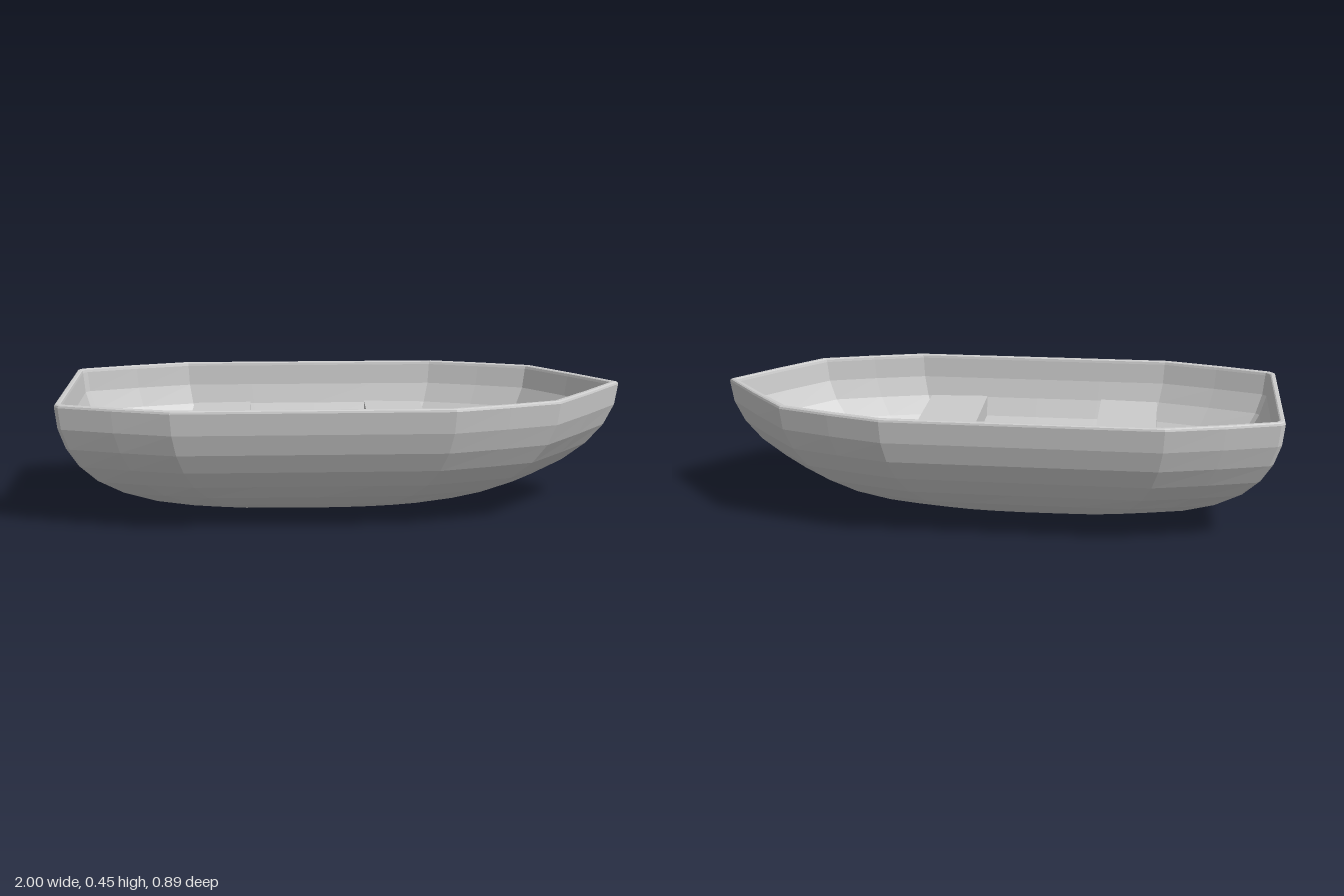
import * as THREE from 'three';

const MID = -0.1, H = 0.448;

// Half of the rim outline, bow to stern: [x, z]
const HALF = [[1, 0], [0.87, 0.165], [0.73, 0.33], [0.55, 0.39], [0.36, 0.445], [0.13, 0.445], [-0.1, 0.445],
  [-0.35, 0.445], [-0.6, 0.445], [-0.8, 0.39], [-0.985, 0.33], [-1, 0.31], [-1, 0.15], [-1, 0]];
const OUTLINE = [...HALF, ...HALF.slice(1, -1).reverse().map(([x, z]) => [x, -z])];

// One horizontal ring: s is the width ratio (1 at the rim, 0 at the keel), inset thins it for the inside
function ring(s, y, inset = 0) {
  const bow = Math.pow(s, 0.75), stern = Math.pow(s, 0.57);
  const round = 1 - THREE.MathUtils.smoothstep(s, 0.2, 0.85);
  return OUTLINE.map(([x, z]) => {
    let u = (x - MID) / (x > MID ? 1.1 : 0.9);
    let v = z / 0.445;
    // towards the keel the outline softens into an ellipse
    const a = Math.atan2(v, u);
    u = THREE.MathUtils.lerp(u, Math.cos(a), round * (x > MID ? 1 : 0.4));
    v = THREE.MathUtils.lerp(v, Math.sin(a), round * (x > MID ? 1 : 0.4));
    const px = MID + u * (x > MID ? (1.1 - inset * 1.4) * bow : (0.9 - inset) * stern);
    return [px, y, v * s * (0.445 - inset)];
  });
}

// Skin a list of rings with quads
function loft(rings) {
  const n = OUTLINE.length, index = [];
  for (let r = 0; r < rings.length - 1; r++) {
    for (let i = 0; i < n; i++) {
      const j = (i + 1) % n, a = r * n + i, b = r * n + j, c = a + n, d = b + n;
      index.push(a, c, b, b, c, d);
    }
  }
  const g = new THREE.BufferGeometry();
  g.setAttribute('position', new THREE.Float32BufferAttribute(rings.flat(2), 3));
  g.setIndex(index);
  g.computeVertexNormals();
  return g;
}

export function createModel() {
  const group = new THREE.Group();
  const material = new THREE.MeshStandardMaterial({ color: 0xcccccc, flatShading: true, side: THREE.DoubleSide });
  const add = (geometry, name) => {
    const mesh = new THREE.Mesh(geometry, material);
    mesh.name = name;
    group.add(mesh);
  };

  // Bowl-shaped shells: a quarter circle of rings from keel to rim
  const STEPS = 9;
  const shell = (bottom, top, inset) => Array.from({ length: STEPS + 1 }, (_, k) => {
    const a = (k / STEPS) * Math.PI / 2;
    return ring(Math.sin(a), top - (top - bottom) * Math.cos(a), inset);
  });
  const outer = shell(0, 0.438, 0);
  const inner = shell(0.016, 0.436, 0.022);
  add(loft(outer), 'hull');
  add(loft([...inner].reverse()), 'hullInside');

  // Gunwale: bevelled strip closing the gap between the two shells
  add(loft([ring(1, 0.438), ring(1, 0.445, 0.002), ring(1, H, 0.006), ring(1, H, 0.016),
    ring(1, 0.445, 0.02), ring(1, 0.436, 0.022)]), 'gunwale');

  // Benches: boxes whose ends follow the hull, narrower below and towards the boat's ends
  for (const [name, x, dir] of [['rearBench', -0.457, -1], ['frontBench', 0.2, 1]]) {
    const g = new THREE.BoxGeometry(0.216, 0.072, 2);
    const p = g.attributes.position;
    for (let i = 0; i < p.count; i++) {
      const half = 0.386 - (p.getX(i) * dir > 0 ? 0.013 : 0) - (p.getY(i) < 0 ? 0.024 : 0);
      p.setZ(i, Math.sign(p.getZ(i)) * half);
    }
    g.translate(x, 0.264, 0);
    g.computeVertexNormals();
    add(g, name);
  }
  return group;
}
